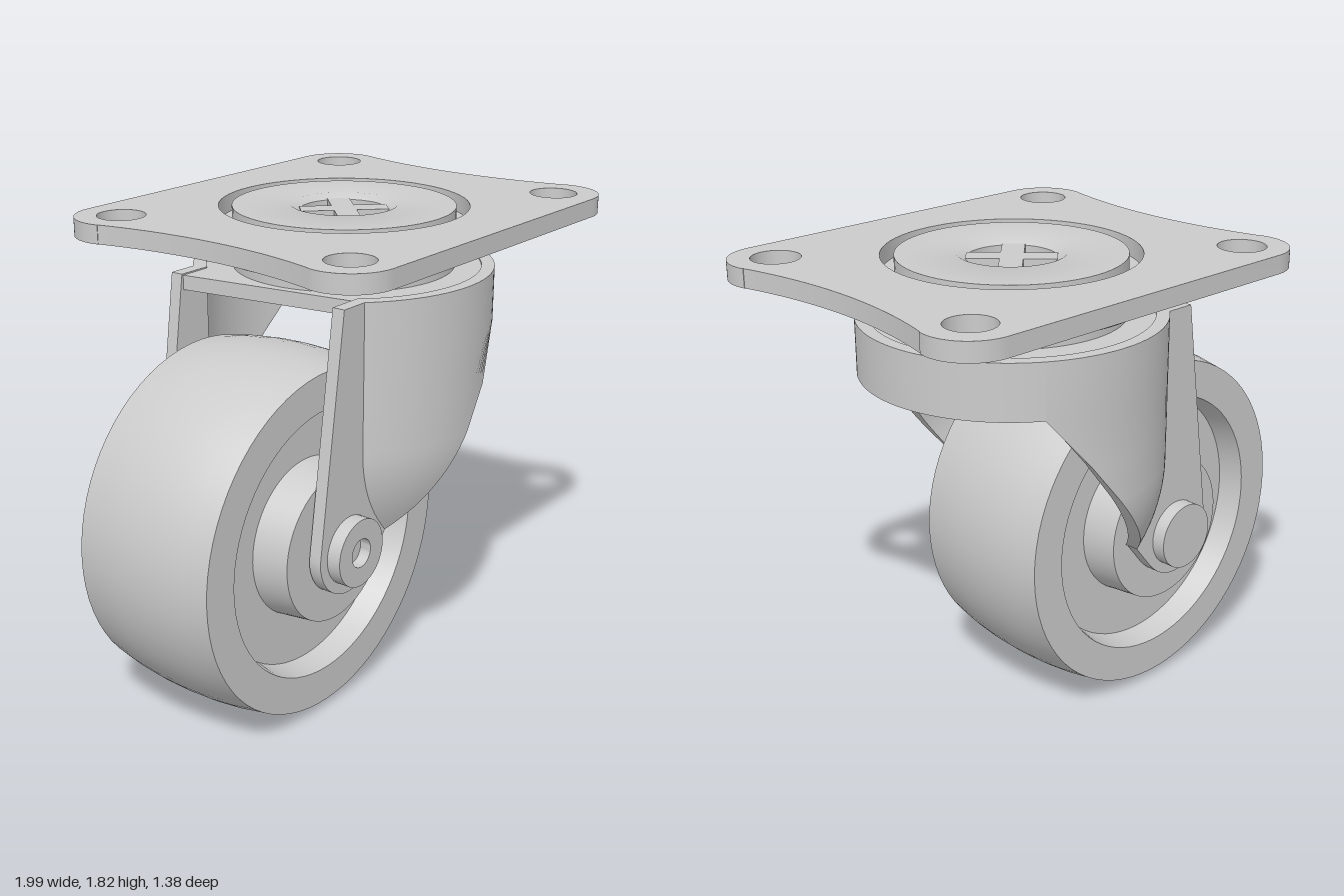
import * as THREE from 'three';
import { toCreasedNormals } from 'three/addons/utils/BufferGeometryUtils.js';

const material = new THREE.MeshStandardMaterial({ color: 0xcccccc });
const SWIVEL_X = 0.172, AXLE_X = -0.31, AXLE_Y = 0.7;

function part(name, geometry, x = 0, y = 0, z = 0) {
  const mesh = new THREE.Mesh(toCreasedNormals(geometry, 0.6), material);
  mesh.name = name;
  mesh.position.set(x, y, z);
  return mesh;
}

const lathe = (profile, segments = 64) =>
  new THREE.LatheGeometry(profile.map(([r, y]) => new THREE.Vector2(r, y)), segments);

// Flat shape in plan, thickened upwards
const slab = (shape, depth) =>
  new THREE.ExtrudeGeometry(shape, { depth, bevelEnabled: false, curveSegments: 32 }).rotateX(-Math.PI / 2);

function circleHole(x, y, r) {
  const path = new THREE.Path();
  path.absarc(x, y, r, 0, Math.PI * 2, true);
  return path;
}

// Mounting plate with round corners and hollowed short sides
function plateGeometry() {
  const s = new THREE.Shape(), a = 0.267, P = Math.PI;
  s.absarc(0.65, 0.52, 0.172, -a, P / 2, false);
  s.absarc(-0.65, 0.52, 0.172, P / 2, P + a, false);
  s.absarc(-2.55, 0, 1.8, a, -a, true);
  s.absarc(-0.65, -0.52, 0.172, P - a, P * 1.5, false);
  s.absarc(0.65, -0.52, 0.172, -P / 2, a, false);
  s.absarc(2.55, 0, 1.8, P + a, P - a, true);
  s.holes.push(circleHole(0, 0, 0.47));
  for (const x of [-0.65, 0.65]) for (const y of [-0.52, 0.52]) s.holes.push(circleHole(x, y, 0.09));
  return slab(s, 0.07);
}

// Fork leg: a flat cheek that runs into a part-cylinder, narrowing to the axle
const FLAT = 5, ROUND = 24, LEG_R = 0.17;
const rows = [];
for (let i = 0; i <= 10; i++) rows.push(AXLE_Y - LEG_R * Math.cos((i / 10) * Math.PI / 2));
for (let i = 1; i <= 12; i++) rows.push(AXLE_Y + (i / 12) * 0.35);
rows.push(1.2, 1.4, 1.61);

function legPoint(i, j, inner, side) {
  const y = rows[j];
  const arc = Math.sqrt(Math.max(0, LEG_R ** 2 - (y - AXLE_Y) ** 2));
  const left = y < AXLE_Y ? AXLE_X - arc : -0.48 + (y - AXLE_Y) * 0.143;
  const right = y < 0.6 ? AXLE_X + arc : Math.min(0.47, -0.09 + (y - AXLE_Y) * 0.8);
  const outerR = 0.57 - 0.093 * (Math.max(0, 1.05 - y) / 0.35) ** 2;
  const r = outerR - (inner ? 0.05 : 0), flatZ = inner ? 0.35 : 0.4;
  const crease = SWIVEL_X - Math.sqrt(Math.max(0, r * r - flatZ * flatZ));
  let x, z = flatZ;
  if (i <= FLAT) x = THREE.MathUtils.lerp(left, Math.min(crease, right), i / FLAT);
  else if (right <= crease) x = right;
  else {
    const from = Math.PI - Math.asin(flatZ / r);
    const to = Math.min(from, Math.acos((right - SWIVEL_X) / outerR));
    const angle = THREE.MathUtils.lerp(from, to, (i - FLAT) / ROUND);
    x = SWIVEL_X + r * Math.cos(angle);
    z = r * Math.sin(angle);
  }
  return new THREE.Vector3(x, y, z * side);
}

function legGeometry(side) {
  const positions = [], n = FLAT + ROUND, m = rows.length - 1;
  const O = (i, j) => legPoint(i, j, false, side), I = (i, j) => legPoint(i, j, true, side);
  const tri = (a, b, c) => {
    const area = b.clone().sub(a).cross(c.clone().sub(a)).length();
    if (area < 1e-8) return;
    for (const p of side > 0 ? [a, b, c] : [a, c, b]) positions.push(p.x, p.y, p.z);
  };
  const quad = (a, b, c, d) => { tri(a, b, c); tri(a, c, d); };
  for (let i = 0; i < n; i++) {
    for (let j = 0; j < m; j++) {
      quad(O(i, j), O(i + 1, j), O(i + 1, j + 1), O(i, j + 1));
      quad(I(i, j), I(i, j + 1), I(i + 1, j + 1), I(i + 1, j));
    }
    quad(O(i, 0), I(i, 0), I(i + 1, 0), O(i + 1, 0));
    quad(O(i, m), O(i + 1, m), I(i + 1, m), I(i, m));
  }
  for (let j = 0; j < m; j++) {
    quad(O(0, j), O(0, j + 1), I(0, j + 1), I(0, j));
    quad(O(n, j), I(n, j), I(n, j + 1), O(n, j + 1));
  }
  const g = new THREE.BufferGeometry();
  g.setAttribute('position', new THREE.Float32BufferAttribute(positions, 3));
  return g;
}

function createFork() {
  const fork = new THREE.Group();
  fork.name = 'fork';
  fork.add(part('leftLeg', legGeometry(1)), part('rightLeg', legGeometry(-1)));

  // Curved band joining the legs
  const end = Math.acos((0.47 - SWIVEL_X) / 0.57);
  const band = new THREE.Shape();
  band.absarc(0, 0, 0.57, -end, end, false);
  band.absarc(0, 0, 0.52, end, -end, true);
  fork.add(part('forkBand', slab(band, 0.21), SWIVEL_X, 1.4));

  // Crown plate under the swivel
  const crown = new THREE.Shape();
  const a = Math.PI - Math.asin(0.38 / 0.55);
  crown.moveTo(-0.52, -0.38);
  crown.absarc(0, 0, 0.55, -a, a, false);
  crown.lineTo(-0.52, 0.38);
  fork.add(part('forkCrown', slab(crown, 0.055), SWIVEL_X, 1.55));
  return fork;
}

function createSwivel() {
  const swivel = new THREE.Group();
  swivel.name = 'swivel';
  swivel.position.x = SWIVEL_X;
  // Neck, dished race, groove and pivot recess
  swivel.add(part('swivelRace', lathe([
    [0, 1.6], [0.42, 1.6], [0.42, 1.66], [0.47, 1.66], [0.5, 1.667], [0.525, 1.685], [0.545, 1.72],
    [0.57, 1.762], [0.42, 1.762], [0.42, 1.83], [0.2, 1.83], [0.165, 1.81], [0.165, 1.77], [0, 1.77],
  ])));
  // Cross in the pivot recess
  for (const turn of [1, -1]) {
    const bar = part('pivotCross', new THREE.BoxGeometry(0.33, 0.05, 0.085), 0, 1.79);
    bar.rotation.y = turn * Math.PI / 4;
    swivel.add(bar);
  }
  return swivel;
}

function createWheel() {
  const wheel = new THREE.Group();
  wheel.name = 'wheelAssembly';
  wheel.position.set(AXLE_X, AXLE_Y, 0);
  wheel.rotation.x = Math.PI / 2;
  // Crowned tread, recessed web and hub, same on both sides
  const half = [[0.687, 0.1], [0.677, 0.2], [0.66, 0.3], [0.52, 0.3], [0.5, 0.2],
    [0.305, 0.2], [0.29, 0.345], [0, 0.345]];
  const mirrored = half.map(([r, z]) => [r, -z]).reverse();
  wheel.add(part('wheel', lathe([...mirrored, [0.69, 0], ...half], 72)));
  // Axle with a bored front head
  wheel.add(part('axle', lathe([
    [0, -0.455], [0.13, -0.455], [0.13, -0.4], [0.1, -0.4], [0.1, 0.4], [0.13, 0.4],
    [0.13, 0.455], [0.055, 0.455], [0.055, 0.41], [0, 0.41],
  ], 40)));
  return wheel;
}

export function createModel() {
  const model = new THREE.Group();
  model.name = 'caster';
  model.add(part('mountingPlate', plateGeometry(), SWIVEL_X, 1.76));
  model.add(createSwivel(), createFork(), createWheel());
  return model;
}
